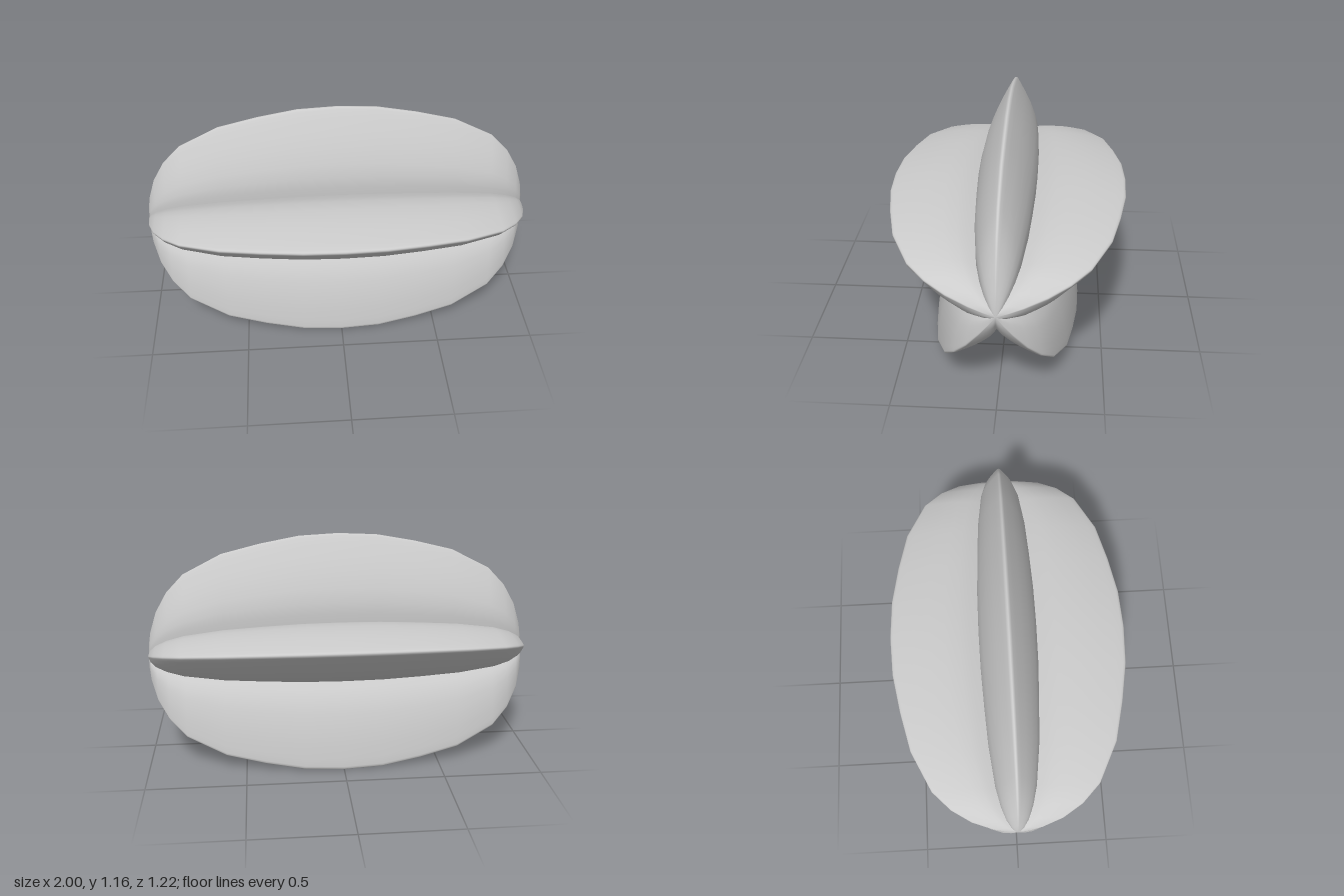
import * as THREE from 'three';
import { mergeVertices } from 'three/addons/utils/BufferGeometryUtils.js';

// Ridge height along the length of the fruit: [x, radius], half of it, mirrored below
const HALF = [[0, 0.64], [0.2, 0.63], [0.4, 0.593], [0.6, 0.543], [0.8, 0.44],
  [0.89, 0.345], [0.95, 0.24], [0.985, 0.13], [0.997, 0.06], [1, 0]];
const PROFILE = [...HALF.slice(1).reverse().map(([x, r]) => [-x, r]), ...HALF];

// Half of one rib's cross-section at the middle: [sideways, outward], valley to tip
const SIDE = [[0.147, 0.202], [0.149, 0.25], [0.147, 0.31], [0.129, 0.38],
  [0.1, 0.46], [0.065, 0.535], [0.033, 0.595], [0.014, 0.63], [0.006, 0.638]];
const SECTION = [...SIDE.map(([s, o]) => [-s, o]), [0, 0.64], ...SIDE.slice().reverse()];

// One rib, pointing up, swept from end to end and tapering to a point at each
function ribGeometry() {
  const positions = [], index = [];
  const n = SECTION.length;
  PROFILE.forEach(([x, r], i) => {
    const k = r / 0.64;
    for (const [s, o] of SECTION) positions.push(x, o * k, s * k);
    if (i === 0) return;
    for (let j = 0; j < n - 1; j++) {
      const a = (i - 1) * n + j, b = a + n;
      if (i > 1) index.push(a, a + 1, b);
      if (i < PROFILE.length - 1) index.push(a + 1, b + 1, b);
      else if (i === 1) index.push(a + 1, b + 1, b);
    }
  });
  const geometry = new THREE.BufferGeometry();
  geometry.setAttribute('position', new THREE.Float32BufferAttribute(positions, 3));
  geometry.setIndex(index);
  const merged = mergeVertices(geometry, 1e-5);
  merged.computeVertexNormals();
  return merged;
}

export function createModel() {
  const group = new THREE.Group();
  group.name = 'starFruit';
  const material = new THREE.MeshStandardMaterial({ color: 0xcccccc, side: THREE.DoubleSide });
  const geometry = ribGeometry();

  // Five equal ribs around the long axis; the valleys between them stay sharp
  for (let i = 0; i < 5; i++) {
    const rib = new THREE.Mesh(geometry, material);
    rib.name = `rib${i + 1}`;
    rib.position.y = 0.52;
    rib.rotation.x = (i * Math.PI * 2) / 5;
    group.add(rib);
  }
  return group;
}
